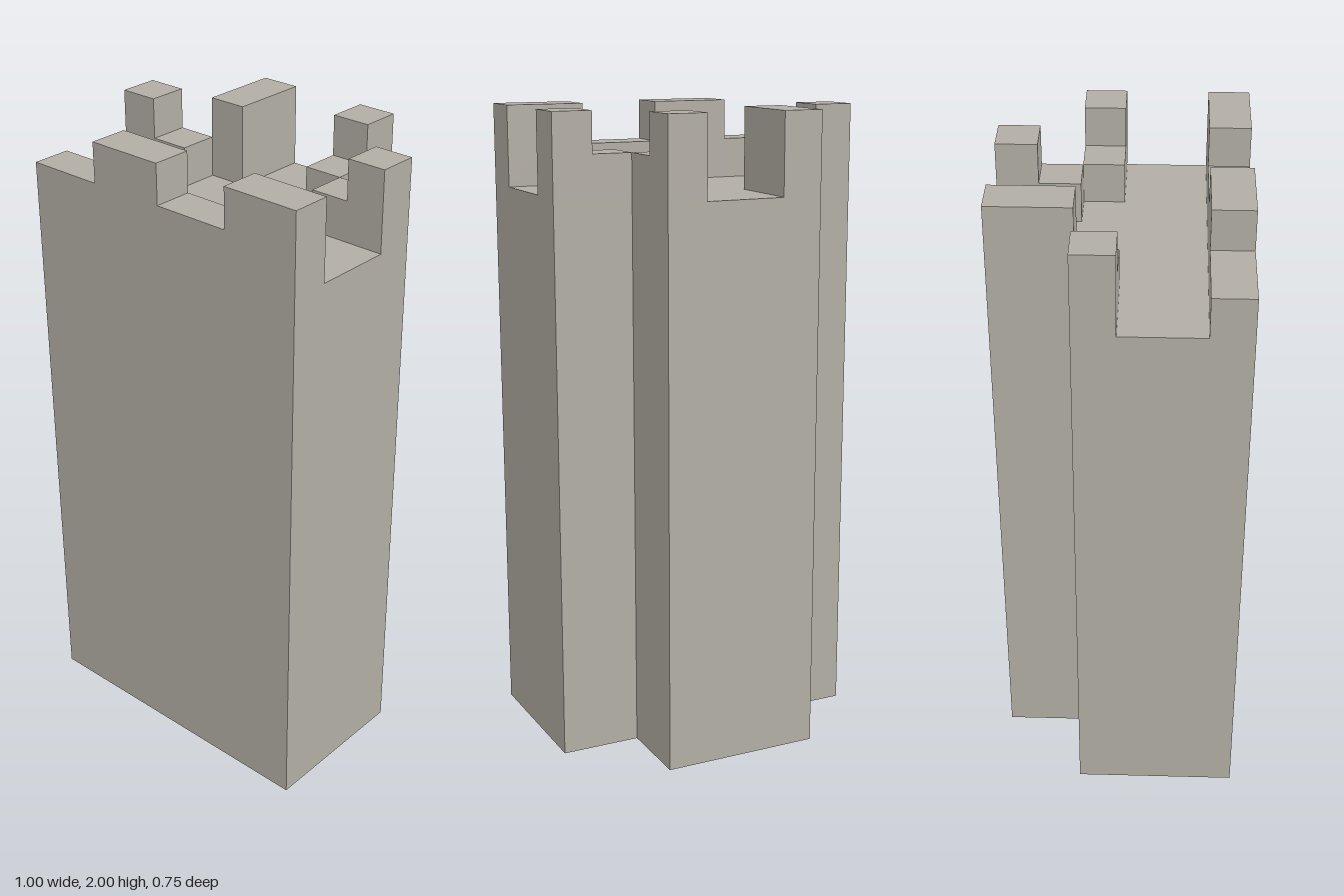
import * as THREE from 'three';

const DECK = 1.75, LOW = 1.875, HIGH = 2;

// T-shaped footprint as [x, z], counter-clockwise seen from above
const OUTLINE = [
  [-0.5, 0.375], [0.5, 0.375], [0.5, -0.125], [0.25, -0.125],
  [0.25, -0.375], [-0.25, -0.375], [-0.25, -0.125], [-0.5, -0.125],
];

// Battlement blocks: name, x range, z range, top height
const BLOCKS = [
  ['frontCrenel', -0.5, -0.25, 0.25, 0.375, LOW],
  ['frontMerlon', -0.25, 0, 0.25, 0.375, HIGH],
  ['frontCrenel', 0, 0.25, 0.25, 0.375, LOW],
  ['frontMerlon', 0.25, 0.5, 0.25, 0.375, HIGH],
  ['rightWingMerlon', -0.5, -0.375, -0.125, 0, HIGH],
  ['rightWingCrenel', -0.375, -0.25, -0.125, 0, LOW],
  ['leftWingCrenel', 0.25, 0.375, -0.125, 0, LOW],
  ['leftWingMerlon', 0.375, 0.5, -0.125, 0, HIGH],
  ['backRightMerlon', -0.25, -0.125, -0.375, -0.125, HIGH],
  ['backLeftMerlon', 0.125, 0.25, -0.375, -0.25, HIGH],
  ['backLeftCrenel', 0.125, 0.25, -0.25, -0.125, LOW],
];

export function createModel() {
  const group = new THREE.Group();
  group.name = 'castleTower';
  const stone = new THREE.MeshStandardMaterial({ color: 0xb2aea5, side: THREE.DoubleSide });
  stone.name = 'stone';

  const add = (name, geometry) => {
    const mesh = new THREE.Mesh(geometry, stone);
    mesh.name = name;
    group.add(mesh);
    return mesh;
  };

  // Hollow outer walls, open at the bottom
  const corners = [];
  OUTLINE.forEach(([ax, az], i) => {
    const [bx, bz] = OUTLINE[(i + 1) % OUTLINE.length];
    corners.push(ax, 0, az, bx, 0, bz, bx, DECK, bz);
    corners.push(ax, 0, az, bx, DECK, bz, ax, DECK, az);
  });
  const walls = new THREE.BufferGeometry();
  walls.setAttribute('position', new THREE.Float32BufferAttribute(corners, 3));
  walls.computeVertexNormals();
  add('walls', walls);

  // Roof deck between the battlements
  const plan = new THREE.Shape(OUTLINE.map(([x, z]) => new THREE.Vector2(x, -z)));
  add('roofDeck', new THREE.ShapeGeometry(plan).rotateX(-Math.PI / 2)).position.y = DECK;

  // Battlements standing flush with the walls
  for (const [name, x0, x1, z0, z1, top] of BLOCKS) {
    const block = add(name, new THREE.BoxGeometry(x1 - x0, top - DECK, z1 - z0));
    block.position.set((x0 + x1) / 2, (top + DECK) / 2, (z0 + z1) / 2);
  }
  return group;
}
